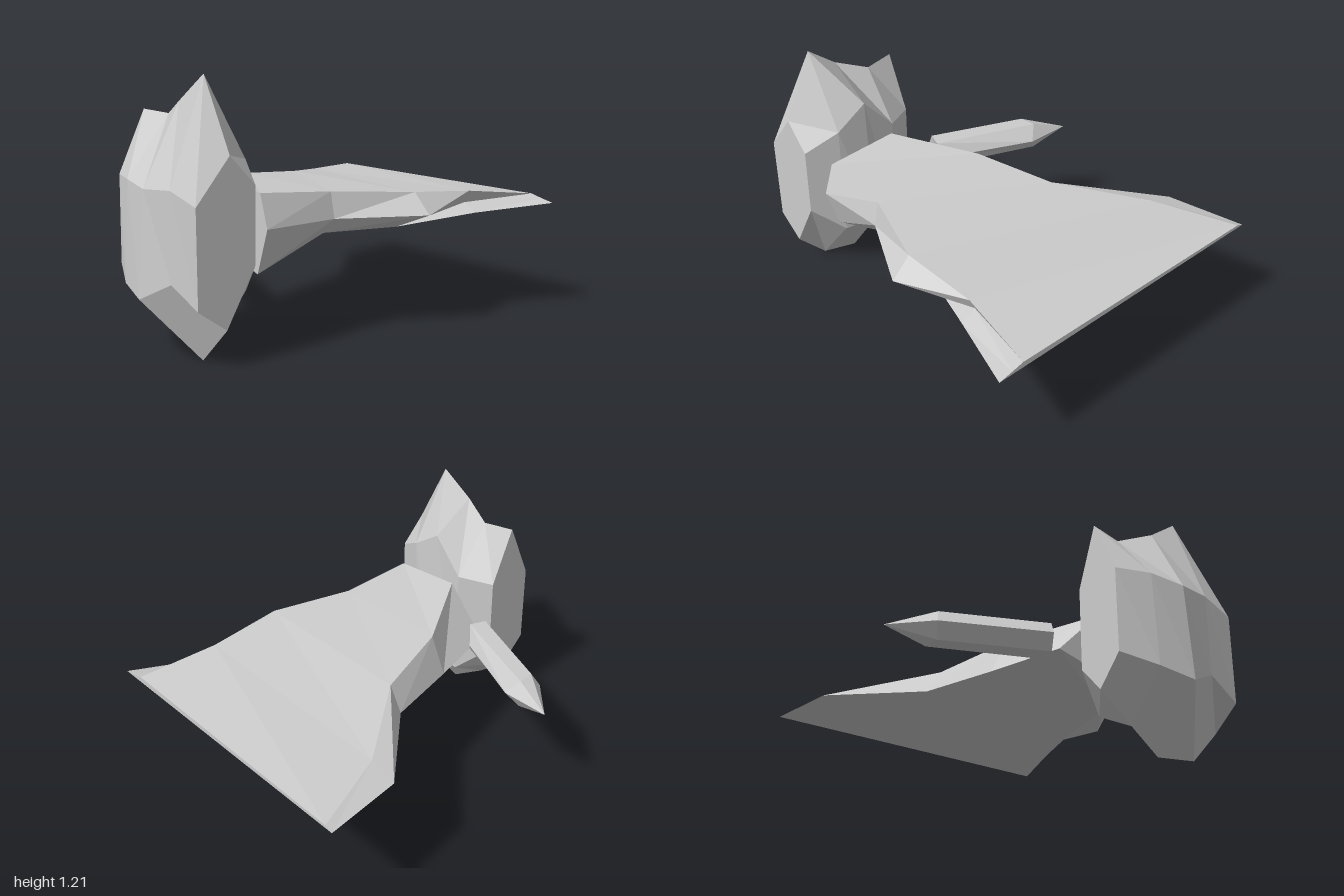
import * as THREE from 'three';

// Closed faceted skin through a run of matching cross-sections
function loft(name, sections, material) {
  const tris = [];
  const n = sections[0].length;
  const centre = s => s.reduce((c, p) => c.add(p), new THREE.Vector3()).divideScalar(n);
  const first = sections[0], last = sections[sections.length - 1];
  const c0 = centre(first), c1 = centre(last);
  for (let j = 0; j < n; j++) {
    const k = (j + 1) % n;
    for (let i = 0; i < sections.length - 1; i++) {
      const a = sections[i], b = sections[i + 1];
      tris.push([a[j], a[k], b[k]], [a[j], b[k], b[j]]);
    }
    tris.push([c0, first[k], first[j]], [c1, last[j], last[k]]);
  }
  // Turn every face outward using the signed volume
  let volume = 0;
  for (const [a, b, c] of tris) volume += a.dot(new THREE.Vector3().crossVectors(b, c));
  const points = tris.flatMap(([a, b, c]) => (volume < 0 ? [a, c, b] : [a, b, c]));
  const geometry = new THREE.BufferGeometry().setFromPoints(points);
  geometry.computeVertexNormals();
  const mesh = new THREE.Mesh(geometry, material);
  mesh.name = name;
  return mesh;
}

const v = (x, y, z) => new THREE.Vector3(x, y, z);

export function createModel() {
  const group = new THREE.Group();
  group.name = 'wingedPod';
  const grey = new THREE.MeshStandardMaterial({ color: 0xcccccc, flatShading: true });
  grey.name = 'light grey';

  // Pod: six-sided sections along z, as [x, y] from the top clockwise
  const pod = [
    [0.58, [[-0.755, 0.885], [-0.63, 0.755], [-0.63, 0.42], [-0.775, 0.165], [-0.915, 0.265], [-0.92, 0.69]]],
    [0.42, [[-0.77, 1.205], [-0.565, 0.84], [-0.565, 0.27], [-0.79, 0], [-0.94, 0.35], [-0.94, 0.74]]],
    [0.26, [[-0.79, 1.085], [-0.56, 0.945], [-0.53, 0.275], [-0.74, 0], [-1, 0.265], [-0.97, 0.73]]],
    [0.095, [[-0.74, 1.02], [-0.56, 0.77], [-0.56, 0.21], [-0.77, 0.095], [-0.97, 0.3], [-0.95, 0.75]]],
    [-0.065, [[-0.77, 1.03], [-0.65, 0.755], [-0.65, 0.36], [-0.77, 0.225], [-0.9, 0.35], [-0.9, 0.75]]],
  ];
  group.add(loft('pod', pod.map(([z, s]) => s.map(([x, y]) => v(x, y, z))), grey));

  // Wing: sections along x, as [z, y]: top rear, trailing edge, keel, leading edge, top front
  const wing = [
    [-0.54, [[0.12, 0.73], [-0.1, 0.5], [0.47, 0.345], [0.54, 0.55], [0.49, 0.7]]],
    [-0.16, [[-0.13, 0.68], [-0.215, 0.505], [0.45, 0.475], [0.525, 0.55], [0.5, 0.67]]],
    [0.23, [[-0.26, 0.64], [-0.33, 0.52], [0.51, 0.465], [0.725, 0.55], [0.63, 0.645]]],
    [0.61, [[-0.565, 0.585], [-0.705, 0.545], [0.655, 0.51], [0.58, 0.55], [0.61, 0.61]]],
    [1, [[-0.73, 0.565], [-0.77, 0.55], [0.8, 0.535], [0.73, 0.55], [0.67, 0.565]]],
  ];
  group.add(loft('wing', wing.map(([x, s]) => s.map(([z, y]) => v(x, y, z))), grey));

  // Rear fin: a slanted six-sided bar ending in a point
  const bar = (left, topLeft, topRight, right) => [
    v(left[0], 0.55, left[1]),
    v(topLeft[0], 0.62, topLeft[1]),
    v(topRight[0], 0.62, topRight[1]),
    v(right[0], 0.55, right[1]),
    v(topRight[0], 0.48, topRight[1]),
    v(topLeft[0], 0.48, topLeft[1]),
  ];
  const tip = [-0.22, -0.81];
  group.add(loft('rearFin', [
    bar([-0.575, -0.155], [-0.53, -0.135], [-0.45, -0.105], [-0.385, -0.17]),
    bar([-0.385, -0.635], [-0.345, -0.61], [-0.26, -0.62], [-0.215, -0.57]),
    Array.from({ length: 6 }, () => v(tip[0], 0.55, tip[1])),
  ], grey));

  return group;
}
